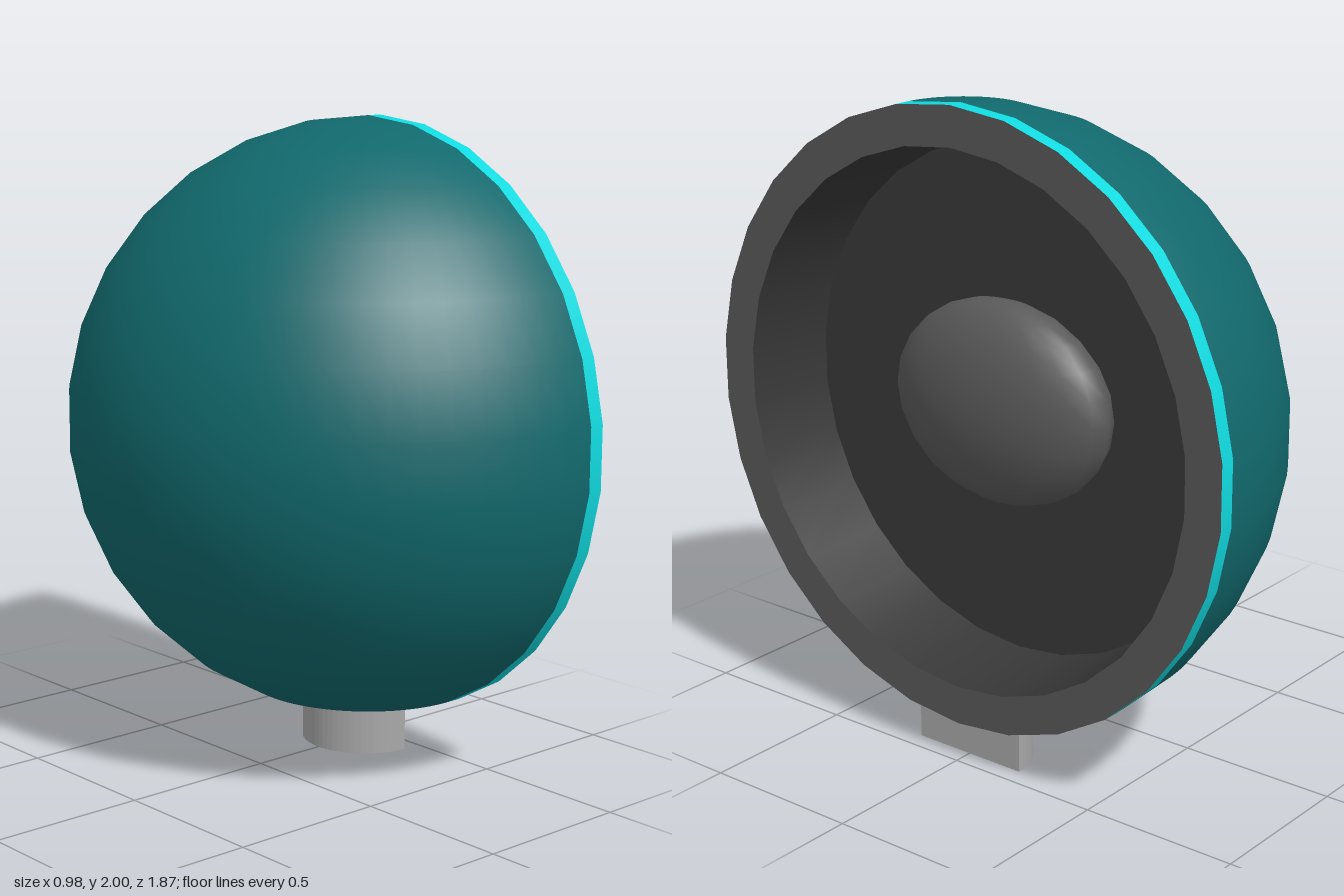
import * as THREE from 'three';

const CY = 1.06;   // height of the main axis
const R = 0.94;    // shell radius
const RIM = 0.49;  // x of the open face
const SEAM = 0.44; // x where shell meets the band
const FLOOR = 0.2; // x of the recessed floor

export function createModel() {
  const group = new THREE.Group();
  const mat = (name, color, side = THREE.FrontSide) => {
    const m = new THREE.MeshStandardMaterial({ color, side });
    m.name = name;
    return m;
  };
  const teal = mat('deep teal', 0x11696d, THREE.DoubleSide);
  const cyan = mat('bright cyan', 0x10dadf);
  const grey = mat('mid grey', 0x5a5a5a, THREE.DoubleSide);
  const dark = mat('dark grey', 0x383838, THREE.DoubleSide);
  const silver = mat('light grey', 0xa8a8a8);

  const add = (name, geometry, material, x = 0, y = CY, z = 0) => {
    const mesh = new THREE.Mesh(geometry, material);
    mesh.name = name;
    mesh.position.set(x, y, z);
    group.add(mesh);
    return mesh;
  };

  // Surface turned about the x axis; profile is [radius, x] pairs
  const turned = (...profile) => new THREE.LatheGeometry(
    profile.map(([r, x]) => new THREE.Vector2(r, x)), 30, Math.PI / 2).rotateZ(-Math.PI / 2);

  // Half-sphere shell bulging toward -x
  add('shell', new THREE.SphereGeometry(R, 32, 15, -Math.PI / 2, Math.PI), teal, SEAM);

  // Coloured band around the opening
  add('band', turned([R, SEAM], [R, RIM]), cyan);

  // Flat rim, recess wall and floor
  add('rim', turned([R, RIM], [0.82, RIM]), grey);
  add('recessWall', turned([0.82, RIM], [0.79, FLOOR]), dark);
  add('recessFloor', turned([0.79, FLOOR], [0, FLOOR]), dark);

  // Oval boss in the middle of the recess
  const boss = new THREE.SphereGeometry(1, 20, 12).scale(0.16, 0.315, 0.395);
  add('centreBoss', boss, grey, 0.25, 1.075, 0.015);

  // Half-round foot, flat side toward the opening
  const half = new THREE.Shape();
  half.absarc(0, 0, 0.195, 0, Math.PI, false);
  half.closePath();
  const foot = new THREE.ExtrudeGeometry(half, { depth: 0.14, bevelEnabled: false, curveSegments: 16 });
  foot.rotateX(-Math.PI / 2).rotateY(Math.PI / 2);
  add('foot', foot, silver, SEAM, 0);

  return group;
}
